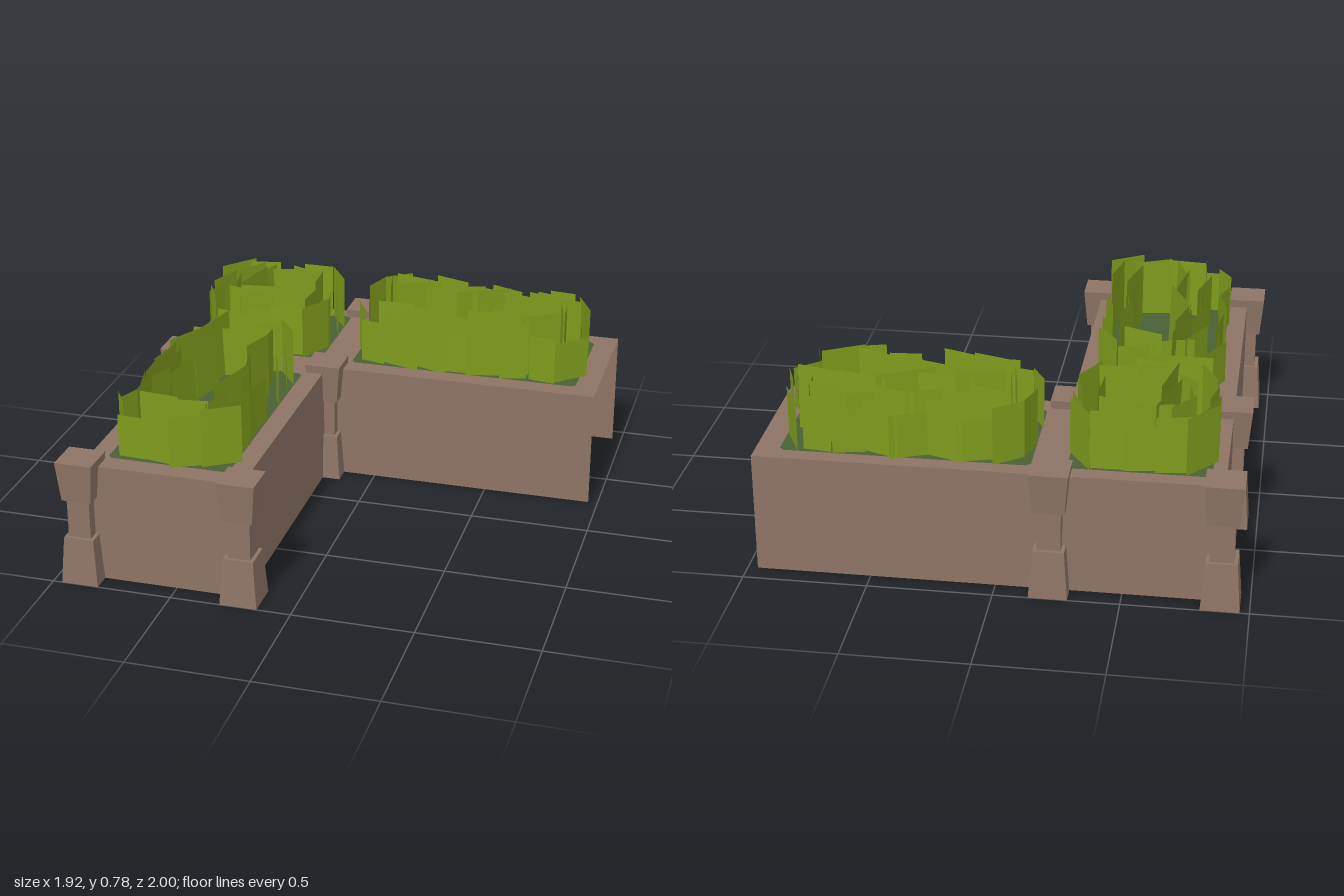
import * as THREE from 'three';
import { mergeGeometries } from 'three/addons/utils/BufferGeometryUtils.js';

const TOP = 0.5;
const stone = new THREE.MeshStandardMaterial({ color: 0x8d7465, side: THREE.DoubleSide, flatShading: true });
const soil = new THREE.MeshStandardMaterial({ color: 0x4b6035, side: THREE.DoubleSide, flatShading: true });
const leaf = new THREE.MeshStandardMaterial({ color: 0x7f9b1c, side: THREE.DoubleSide, flatShading: true });
stone.name = 'stone';
soil.name = 'soil';
leaf.name = 'leaf';

// Plan outline of the L (x, z), starting and ending at the open end
const OUTLINE = [[0.96, -0.26], [-0.217, -0.26], [-0.217, 0.92], [-0.885, 0.92], [-0.885, -0.92], [0.96, -0.92]];

// Planting beds as x0, x1, z0, z1, each with the cards of its centre row as ax, az, bx, bz
const BEDS = [
  { rect: [-0.83, -0.27, -0.85, -0.345],
    row: [[-0.6, -0.77, -0.68, -0.52], [-0.61, -0.66, -0.66, -0.43], [-0.72, -0.45, -0.49, -0.375]] },
  { rect: [-0.13, 0.865, -0.85, -0.345],
    row: [[0, -0.61, 0.19, -0.68], [0.12, -0.66, 0.37, -0.63], [0.28, -0.6, 0.5, -0.71],
      [0.47, -0.7, 0.66, -0.65], [0.59, -0.7, 0.83, -0.64]] },
  { rect: [-0.807, -0.3, -0.165, 0.83],
    row: [[-0.61, -0.12, -0.67, 0.13], [-0.61, 0.05, -0.66, 0.24], [-0.66, 0.2, -0.565, 0.43],
      [-0.59, 0.38, -0.63, 0.59], [-0.64, 0.51, -0.57, 0.72]] },
];

let seed = 7;
const rand = () => (seed = (seed * 16807) % 2147483647) / 2147483647;
const between = (a, b) => a + rand() * (b - a);

function named(name, geometry, material) {
  const mesh = new THREE.Mesh(geometry, material);
  mesh.name = name;
  return mesh;
}

// Rectangle with small cut corners, in plan (shape y is -z)
function bedPoints([x0, x1, z0, z1]) {
  const c = 0.018;
  return [[x0 + c, z0], [x1 - c, z0], [x1, z0 + c], [x1, z1 - c], [x1 - c, z1], [x0 + c, z1], [x0, z1 - c], [x0, z0 + c]]
    .map(([x, z]) => new THREE.Vector2(x, -z));
}

const flat = (shape) => new THREE.ShapeGeometry(shape).rotateX(-Math.PI / 2).translate(0, TOP, 0);

// Upright quad between two plan points, optionally leaning a little
function panel([ax, az, bx, bz], y0, y1, lean = 0) {
  const g = new THREE.PlaneGeometry(Math.hypot(bx - ax, bz - az), y1 - y0);
  g.rotateX(lean).rotateY(-Math.atan2(bz - az, bx - ax));
  return g.translate((ax + bx) / 2, (y0 + y1) / 2, (az + bz) / 2);
}

// Hedge: two rounded rings of uneven leaf cards around a zigzag centre row
function hedge([x0, x1, z0, z1], row) {
  const cards = row.map((ends) => panel(ends, TOP, between(0.755, 0.787), 0.035));
  const cx = (x0 + x1) / 2, cz = (z0 + z1) / 2;
  for (const [inset, low, high] of [[0.015, 0.67, 0.75], [0.1, 0.71, 0.78]]) {
    const rx = (x1 - x0) / 2 - inset, rz = (z1 - z0) / 2 - inset;
    const corner = Math.min(rx, rz) * 0.65;
    const ring = new THREE.Path();
    ring.moveTo(rx, 0);
    ring.lineTo(rx, rz - corner).quadraticCurveTo(rx, rz, rx - corner, rz);
    ring.lineTo(corner - rx, rz).quadraticCurveTo(-rx, rz, -rx, rz - corner);
    ring.lineTo(-rx, corner - rz).quadraticCurveTo(-rx, -rz, corner - rx, -rz);
    ring.lineTo(rx - corner, -rz).quadraticCurveTo(rx, -rz, rx, corner - rz);
    ring.lineTo(rx, 0);
    const count = Math.round(ring.getLength() / 0.125);
    for (let i = 0; i < count; i++) {
      const u = (i + 0.5) / count;
      const p = ring.getPointAt(u), t = ring.getTangentAt(u);
      const angle = Math.atan2(t.y, t.x) + between(-0.4, 0.4);
      const half = between(0.055, 0.095);
      const dx = Math.cos(angle) * half, dz = Math.sin(angle) * half;
      const x = cx + p.x, z = cz + p.y;
      cards.push(panel([x - dx, z - dz, x + dx, z + dz], TOP, between(low, high)));
    }
  }
  return mergeGeometries(cards);
}

// Square post with flared foot and head and a recessed neck, open underneath
function postGeometry() {
  const profile = [[0.077, 0], [0.062, 0.2], [0.047, 0.2], [0.047, 0.365], [0.062, 0.365], [0.077, 0.535], [0, 0.535]];
  const points = profile.map(([r, y]) => new THREE.Vector2(r * Math.SQRT2, y));
  const g = new THREE.LatheGeometry(points, 4, Math.PI / 4).toNonIndexed();
  g.computeVertexNormals();
  return g;
}

export function createModel() {
  const model = new THREE.Group();
  model.name = 'cornerPlanter';

  // Thin walls, open at the far end and underneath
  const walls = OUTLINE.slice(1).map((end, i) => panel([...OUTLINE[i], ...end], 0, TOP));
  model.add(named('walls', mergeGeometries(walls), stone));

  // Rim around the beds
  const rim = new THREE.Shape(OUTLINE.map(([x, z]) => new THREE.Vector2(x, -z)));
  BEDS.forEach(({ rect }) => rim.holes.push(new THREE.Path(bedPoints(rect))));
  model.add(named('rim', flat(rim), stone));

  // Posts at the closed corners and the junction
  const post = postGeometry();
  for (const x of [-0.885, -0.217]) {
    for (const z of [-0.923, -0.258, 0.923]) {
      const mesh = named('post', post, stone);
      mesh.position.set(x, 0, z);
      model.add(mesh);
    }
  }

  // Beds with their hedges
  for (const { rect, row } of BEDS) {
    model.add(named('bed', flat(new THREE.Shape(bedPoints(rect))), soil));
    model.add(named('hedge', hedge(rect, row), leaf));
  }
  return model;
}
